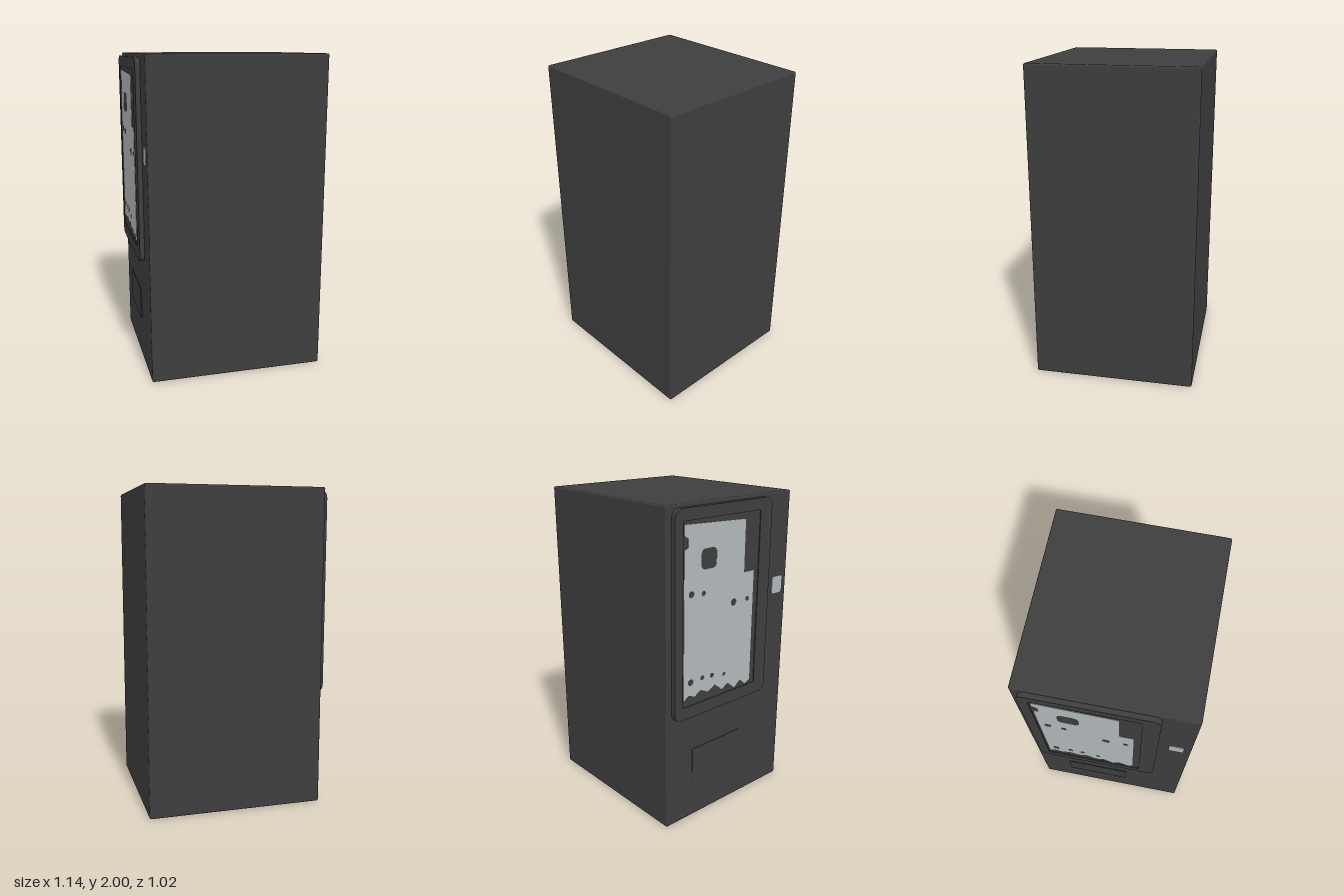
import * as THREE from 'three';
import { RoundedBoxGeometry } from 'three/addons/geometries/RoundedBoxGeometry.js';

const charcoal = new THREE.MeshStandardMaterial({ name: 'charcoal casing', color: 0x3e3e3e });
const silver = new THREE.MeshStandardMaterial({ name: 'silver display', color: 0xb2b8bc });

// Rounded rectangle in the side plane: horizontal = z, vertical = y
function roundedRect(z0, z1, y0, y1, r) {
  const s = new THREE.Shape();
  s.moveTo(z0 + r, y0);
  s.lineTo(z1 - r, y0);
  s.absarc(z1 - r, y0 + r, r, -Math.PI / 2, 0);
  s.lineTo(z1, y1 - r);
  s.absarc(z1 - r, y1 - r, r, 0, Math.PI / 2);
  s.lineTo(z0 + r, y1);
  s.absarc(z0 + r, y1 - r, r, Math.PI / 2, Math.PI);
  s.lineTo(z0, y0 + r);
  s.absarc(z0 + r, y0 + r, r, Math.PI, Math.PI * 1.5);
  return s;
}

// Extrude a side-plane shape outwards (towards -x) from x = from to x = to
function sidePlate(name, shape, from, to, material) {
  const geo = new THREE.ExtrudeGeometry(shape, { depth: from - to, bevelEnabled: false, curveSegments: 8 });
  geo.rotateY(-Math.PI / 2);
  geo.translate(from, 0, 0);
  const mesh = new THREE.Mesh(geo, material);
  mesh.name = name;
  return mesh;
}

export function createModel() {
  const model = new THREE.Group();
  model.name = 'vendingCabinet';

  // Cabinet with slightly softened edges
  const cabinet = new THREE.Mesh(new RoundedBoxGeometry(1.11, 2, 1.02, 3, 0.01), charcoal);
  cabinet.name = 'cabinet';
  cabinet.position.set(0.015, 1, 0);
  model.add(cabinet);

  // Raised display door with a bezel around the window
  const door = [-0.47, 0.31, 0.72, 1.98, 0.05];
  model.add(sidePlate('door', roundedRect(...door), -0.535, -0.564, charcoal));
  const bezel = roundedRect(...door);
  bezel.holes.push(roundedRect(-0.41, 0.21, 0.8, 1.91, 0.01));
  model.add(sidePlate('doorBezel', bezel, -0.564, -0.57, charcoal));

  // Pale display panel: stepped upper corner, ragged lower edge
  const display = new THREE.Shape([
    [-0.4, 0.84], [-0.36, 0.87], [-0.31, 0.85], [-0.26, 0.88], [-0.2, 0.85], [-0.14, 0.88],
    [-0.08, 0.83], [-0.03, 0.86], [0.03, 0.81], [0.08, 0.85], [0.13, 0.81], [0.17, 0.83],
    [0.17, 1.55], [0.085, 1.55], [0.085, 1.87], [-0.4, 1.89],
    [-0.4, 1.83], [-0.37, 1.81], [-0.37, 1.76], [-0.4, 1.75],
  ].map(([z, y]) => new THREE.Vector2(z, y)));
  display.holes.push(roundedRect(-0.27, -0.15, 1.62, 1.74, 0.03));
  // Small round gaps: z, y, radius
  for (const [z, y, r] of [
    [-0.345, 1.49, 0.02], [-0.25, 1.48, 0.015], [0, 1.38, 0.022], [0.12, 1.38, 0.015],
    [-0.345, 0.95, 0.02], [-0.25, 0.955, 0.015], [-0.17, 0.95, 0.015], [-0.065, 0.93, 0.012],
  ]) {
    display.holes.push(new THREE.Path().absarc(z, y, r, 0, Math.PI * 2));
  }
  model.add(sidePlate('displayPanel', display, -0.564, -0.567, silver));

  // Payment plate beside the door
  model.add(sidePlate('paymentPlate', roundedRect(0.375, 0.465, 1.355, 1.465, 0.015), -0.54, -0.544, silver));

  // Collection flap under the door
  model.add(sidePlate('collectionFlap', roundedRect(-0.3, 0.12, 0.27, 0.48, 0.01), -0.54, -0.544, charcoal));

  return model;
}
